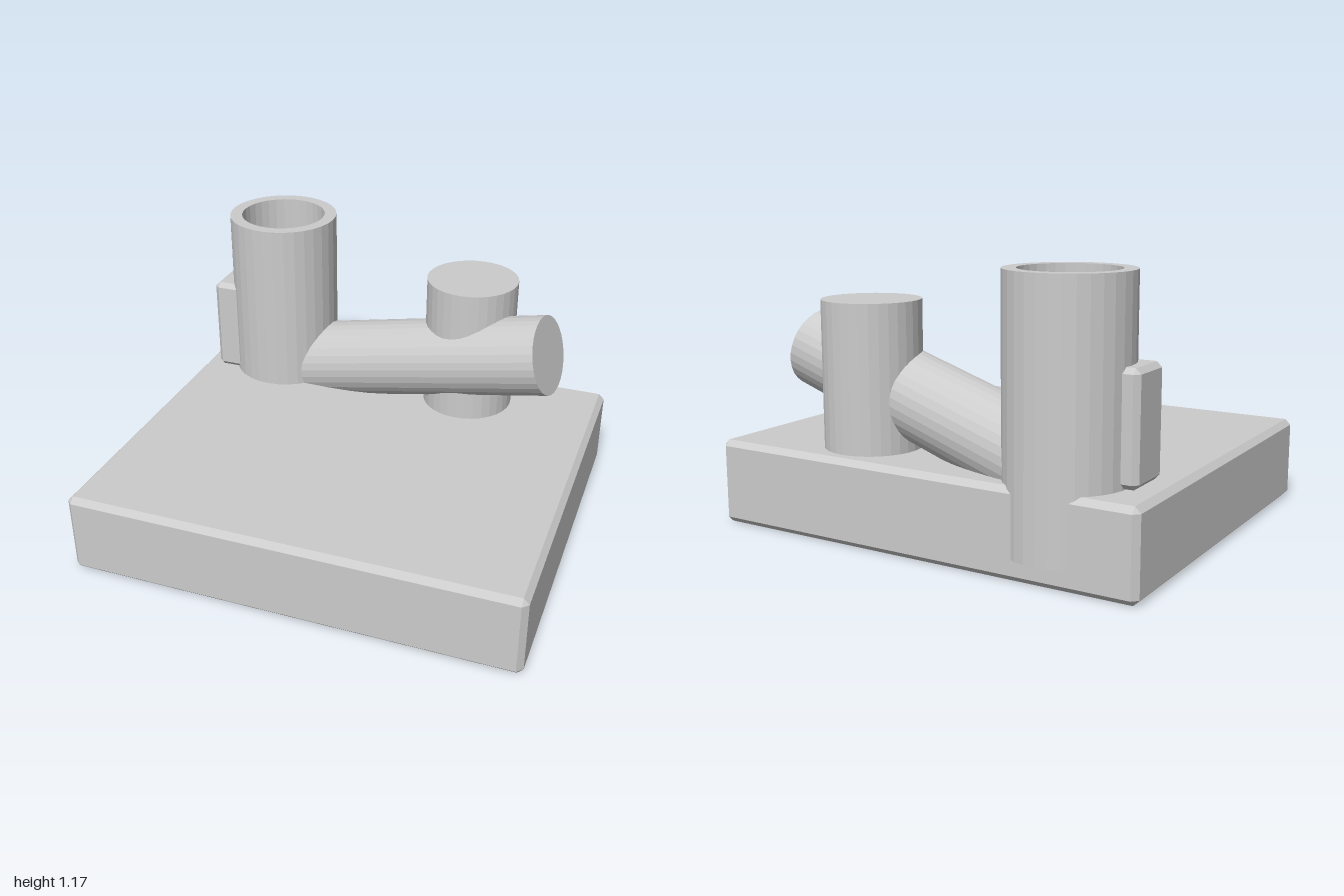
import * as THREE from 'three';
import { ConvexGeometry } from 'three/addons/geometries/ConvexGeometry.js';

const SIDES = 32;
const material = new THREE.MeshStandardMaterial({ color: 0xcccccc, flatShading: true });

// Box between two corners with every edge cut by a single flat chamfer
function chamferedBox(min, max, c) {
  const half = max.map((v, i) => (v - min[i]) / 2);
  const points = [];
  for (const sx of [-1, 1]) for (const sy of [-1, 1]) for (const sz of [-1, 1]) {
    for (let axis = 0; axis < 3; axis++) {
      const p = half.map((h, i) => (i === axis ? h : h - c));
      points.push(new THREE.Vector3(sx * p[0], sy * p[1], sz * p[2]));
    }
  }
  const geometry = new ConvexGeometry(points);
  geometry.translate(...max.map((v, i) => (v + min[i]) / 2));
  return geometry;
}

// Solid cylinder running from one point to another
function rod(from, to, radius) {
  const a = new THREE.Vector3(...from);
  const b = new THREE.Vector3(...to);
  const dir = b.clone().sub(a);
  const geometry = new THREE.CylinderGeometry(radius, radius, dir.length(), SIDES);
  geometry.applyQuaternion(
    new THREE.Quaternion().setFromUnitVectors(new THREE.Vector3(0, 1, 0), dir.normalize()));
  const mid = a.add(b).multiplyScalar(0.5);
  return geometry.translate(mid.x, mid.y, mid.z);
}

// Open pipe: a closed rectangular profile turned about y
function pipe(inner, outer, y0, y1) {
  const profile = [[inner, y0], [outer, y0], [outer, y1], [inner, y1], [inner, y0]];
  return new THREE.LatheGeometry(profile.map(([r, y]) => new THREE.Vector2(r, y)), SIDES);
}

export function createModel() {
  const model = new THREE.Group();
  const add = (name, geometry) => {
    const mesh = new THREE.Mesh(geometry, material);
    mesh.name = name;
    model.add(mesh);
    return mesh;
  };

  // Slab everything stands on
  add('base', chamferedBox([-1, 0, -0.84], [1, 0.37, 0.865], 0.025));

  // Hollow tube, overhanging the back edge of the slab
  add('hollowTube', pipe(0.2, 0.257, 0.09, 1.175)).position.set(-0.6, 0, -0.615);

  // Block let into the side of the tube
  add('sideBlock', chamferedBox([-0.915, 0.375, -0.675], [-0.58, 0.83, -0.45], 0.022));

  // Solid upright post
  add('post', rod([0.37, 0.09, -0.565], [0.37, 1, -0.565], 0.212));

  // Slanted bar from inside the tube through the post
  add('slantedBar', rod([-0.64, 0.376, -0.628], [0.775, 0.745, -0.413], 0.183));

  return model;
}
